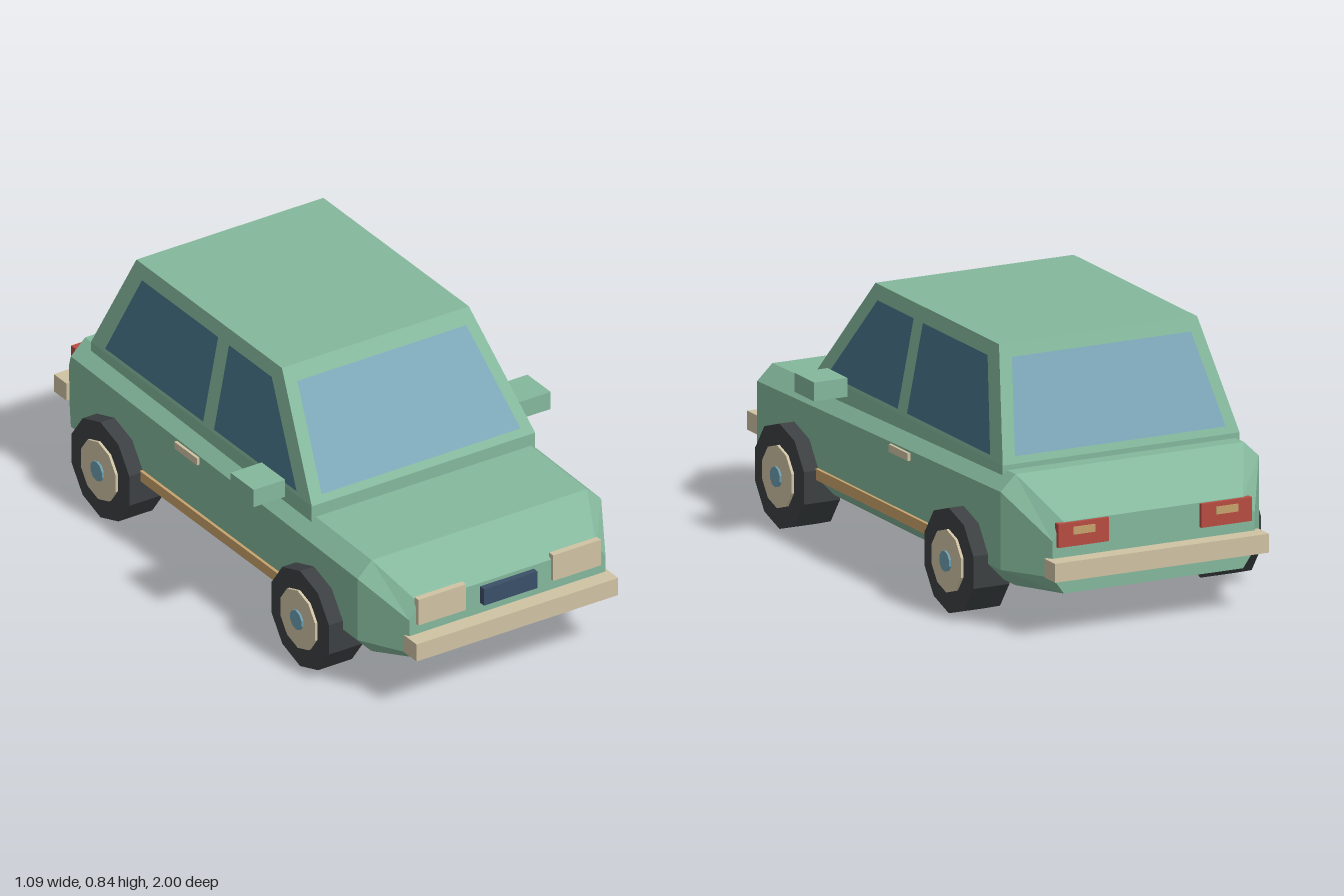
import * as THREE from 'three';

const mat = (name, color, extra = {}) => {
  const m = new THREE.MeshStandardMaterial({ color, flatShading: true, ...extra });
  m.name = name;
  return m;
};

// Skin between rings of points; the first ring runs anticlockwise seen from outside.
function loft(rings) {
  const pos = [];
  const tri = (a, b, c) => pos.push(...a, ...b, ...c);
  const n = rings[0].length;
  for (let r = 0; r < rings.length - 1; r++) {
    const a = rings[r], b = rings[r + 1];
    for (let i = 0; i < n; i++) {
      const j = (i + 1) % n;
      tri(a[i], b[i], a[j]);
      tri(a[j], b[i], b[j]);
    }
  }
  const first = rings[0], last = rings[rings.length - 1];
  for (let i = 1; i < n - 1; i++) {
    tri(first[0], first[i], first[i + 1]);
    tri(last[0], last[i + 1], last[i]);
  }
  return toGeometry(pos);
}

// Flat convex panel
function panel(pts) {
  const pos = [];
  for (let i = 1; i < pts.length - 1; i++) pos.push(...pts[0], ...pts[i], ...pts[i + 1]);
  return toGeometry(pos);
}

function toGeometry(pos) {
  const g = new THREE.BufferGeometry();
  g.setAttribute('position', new THREE.Float32BufferAttribute(pos, 3));
  g.computeVertexNormals();
  return g;
}

export function createModel() {
  const car = new THREE.Group();
  car.name = 'car';

  const paint = mat('green paint', 0x84b89c);
  const cream = mat('cream trim', 0xd0c3a4);
  const glass = mat('light glass', 0x7da7b8, { side: THREE.DoubleSide });
  const sideGlass = mat('dark glass', 0x467488, { side: THREE.DoubleSide });
  const rubber = mat('tyre rubber', 0x3c4042);
  const blue = mat('hub blue', 0x6c9db0);
  const red = mat('tail red', 0xb84c42);
  const navy = mat('grille navy', 0x3a4f68);
  const tan = mat('sill tan', 0xc8a36c);

  const add = (name, geometry, material) => {
    const m = new THREE.Mesh(geometry, material);
    m.name = name;
    car.add(m);
    return m;
  };
  // Box given by its limits on each axis
  const box = (name, material, [x0, x1], [y0, y1], [z0, z1]) => {
    const m = add(name, new THREE.BoxGeometry(x1 - x0, y1 - y0, z1 - z0), material);
    m.position.set((x0 + x1) / 2, (y0 + y1) / 2, (z0 + z1) / 2);
    return m;
  };
  const sided = (s, a, b) => (s > 0 ? [a, b] : [-b, -a]);

  // Lower body: eight-sided sections from nose to tail
  const section = (z, wBottom, wSide, wTop, yBottom, yLow, yHigh, yTop) => {
    const half = [[wBottom, yBottom], [wSide, yLow], [wSide, yHigh], [wTop, yTop]];
    return [
      ...half.map(([x, y]) => [x, y, z]),
      ...half.slice().reverse().map(([x, y]) => [-x, y, z]),
    ];
  };
  add('body', loft([
    section(0.945, 0.31, 0.36, 0.325, 0.155, 0.19, 0.305, 0.355),
    section(0.79, 0.395, 0.447, 0.395, 0.135, 0.19, 0.405, 0.455),
    section(-0.79, 0.395, 0.447, 0.395, 0.135, 0.19, 0.437, 0.487),
    section(-0.945, 0.31, 0.35, 0.31, 0.135, 0.19, 0.305, 0.362),
  ]), paint);

  // Cabin: roof, waist and base rings
  const ring = (y, w, front, back) => [[w, y, front], [w, y, back], [-w, y, back], [-w, y, front]];
  add('cabin', loft([
    ring(0.842, 0.343, 0.217, -0.585),
    ring(0.502, 0.41, 0.482, -0.735),
    ring(0.44, 0.41, 0.482, -0.735),
  ]), paint);

  // Windscreen and rear window lie just outside the sloping cabin ends
  const endWindow = (name, zAt) => add(name, panel([
    [-0.365, 0.525, zAt(0.525)], [0.365, 0.525, zAt(0.525)],
    [0.31, 0.803, zAt(0.803)], [-0.31, 0.803, zAt(0.803)],
  ]), glass);
  endWindow('windscreen', (y) => 0.487 - (y - 0.502) * 0.779);
  endWindow('rearWindow', (y) => -0.74 + (y - 0.502) * 0.441);

  const frontPane = [[0.4, 0.517], [-0.055, 0.517], [-0.055, 0.797], [0.18, 0.797]];
  const rearPane = [[-0.115, 0.517], [-0.655, 0.517], [-0.535, 0.797], [-0.115, 0.797]];

  for (const s of [1, -1]) {
    const side = s > 0 ? 'left' : 'right';
    const pane = (pts) => panel(pts.map(([z, y]) => [s * (0.414 - (y - 0.502) * 0.197), y, z]));
    add(side + 'FrontSideWindow', pane(frontPane), sideGlass);
    add(side + 'RearSideWindow', pane(rearPane), sideGlass);

    box(side + 'Mirror', paint, sided(s, 0.43, 0.545), [0.487, 0.547], [0.237, 0.365]);
    box(side + 'DoorHandle', cream, sided(s, 0.44, 0.457), [0.394, 0.418], [-0.205, -0.08]);
    box(side + 'Sill', tan, sided(s, 0.43, 0.457), [0.19, 0.225], [-0.42, 0.42]);

    // Lamps
    box(side + 'Headlight', cream, sided(s, 0.16, 0.335), [0.285, 0.375], [0.935, 0.957]);
    box(side + 'TailLight', red, sided(s, 0.16, 0.335), [0.285, 0.36], [-0.957, -0.935]);
    box(side + 'ReverseLight', tan, sided(s, 0.21, 0.285), [0.322, 0.346], [-0.961, -0.955]);

    // Ten-sided wheels with a corner at the top
    for (const z of [0.55, -0.55]) {
      const wheel = new THREE.Group();
      wheel.name = side + (z > 0 ? 'FrontWheel' : 'RearWheel');
      const disc = (name, material, r, x0, x1) => {
        const g = new THREE.CylinderGeometry(r, r, x1 - x0, 10, 1, false, Math.PI / 2);
        g.rotateZ(Math.PI / 2);
        const m = new THREE.Mesh(g, material);
        m.name = name;
        m.position.x = s * (x0 + x1) / 2;
        wheel.add(m);
      };
      disc('tyre', rubber, 0.167, 0.373, 0.498);
      disc('rim', cream, 0.1, 0.46, 0.507);
      disc('hubCap', blue, 0.033, 0.48, 0.514);
      wheel.position.set(0, 0.168, z);
      car.add(wheel);
    }
  }

  // Nose and bumpers
  box('grille', navy, [-0.1, 0.097], [0.285, 0.343], [0.935, 0.966]);
  box('frontBumper', cream, [-0.37, 0.37], [0.19, 0.25], [0.93, 1]);
  box('rearBumper', cream, [-0.37, 0.37], [0.19, 0.25], [-1, -0.93]);

  return car;
}
